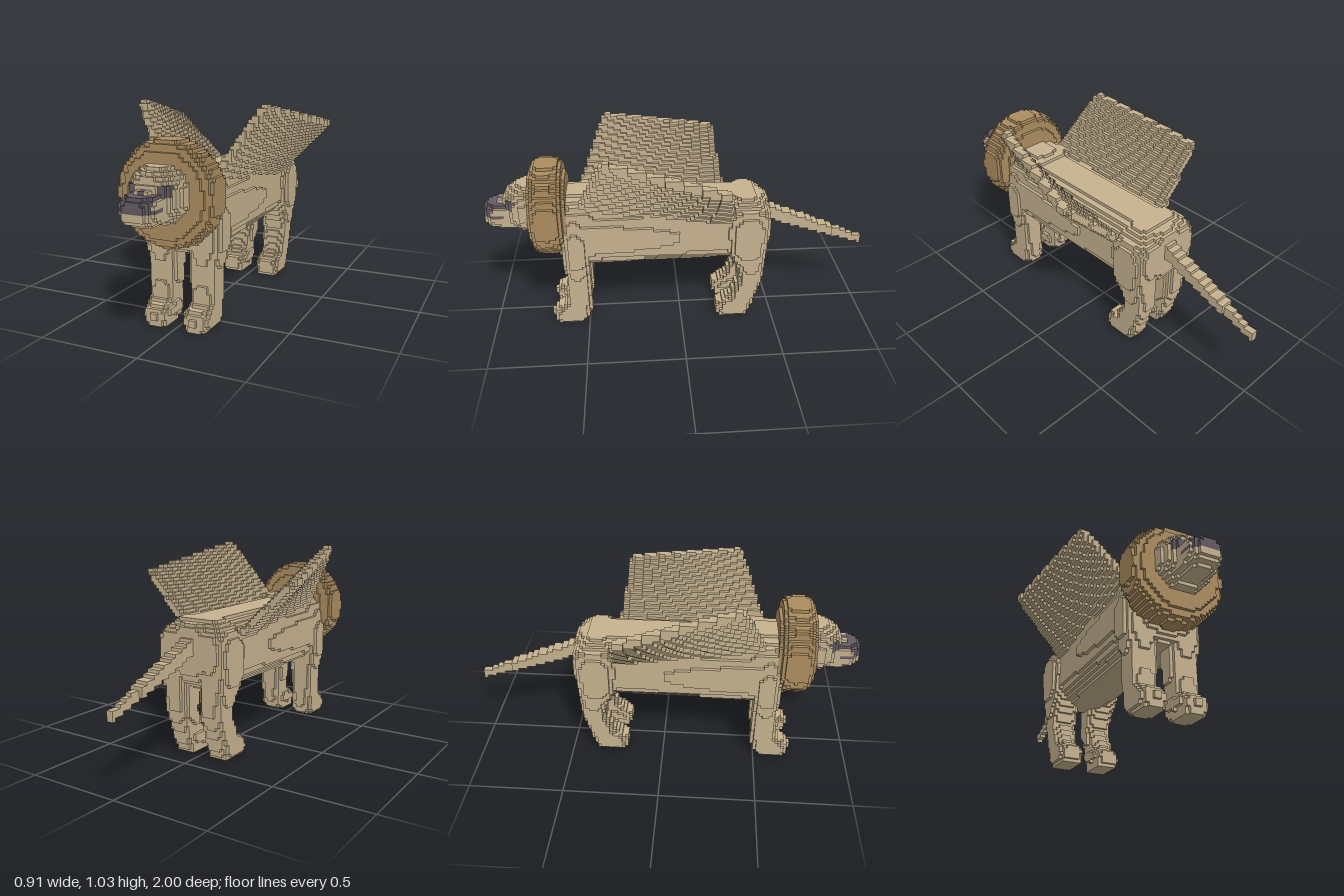
import * as THREE from 'three';

// Cube grid: NX is even so that x = 0 falls on a cell border
const NX = 56, NY = 62, NZ = 119, S = 2 / NZ;
const ORIGIN = [-NX / 2 * S, 0, -1];
const PARTS = ['empty', 'body', 'mane', 'head', 'nose', 'eye', 'wing', 'frontLeg', 'hindLeg', 'tail'];
const PAIRED = ['eye', 'wing', 'frontLeg', 'hindLeg'];

const mix = (a, b, t) => a + (b - a) * t;
const blob = (p, c, r, n) =>
  Math.abs((p[0] - c[0]) / r[0]) ** n + Math.abs((p[1] - c[1]) / r[1]) ** n + Math.abs((p[2] - c[2]) / r[2]) ** n <= 1;

// Leg sections: height, back z, front z, inner x, outer x
const FRONT_LEG = [
  [0, 0.55, 0.67, 0.045, 0.155], [0.03, 0.49, 0.69, 0.045, 0.168], [0.07, 0.485, 0.69, 0.035, 0.168],
  [0.12, 0.485, 0.62, 0.048, 0.168], [0.2, 0.482, 0.605, 0.04, 0.17], [0.3, 0.482, 0.605, 0.033, 0.178],
  [0.4, 0.475, 0.61, 0.033, 0.202], [0.54, 0.48, 0.605, 0.045, 0.2], [0.64, 0.5, 0.59, 0.05, 0.175],
];
const HIND_LEG = [
  [0, -0.365, -0.21, 0.045, 0.155], [0.03, -0.38, -0.185, 0.045, 0.168], [0.07, -0.395, -0.19, 0.035, 0.168],
  [0.12, -0.405, -0.265, 0.045, 0.168], [0.24, -0.44, -0.322, 0.035, 0.172], [0.33, -0.44, -0.29, 0.033, 0.182],
  [0.42, -0.447, -0.245, 0.03, 0.202], [0.56, -0.47, -0.23, 0.01, 0.203], [0.64, -0.46, -0.25, 0, 0.19],
  [0.7, -0.39, -0.29, 0, 0.11],
];

function inLeg(sections, x, y, z) {
  for (let i = 0; i < sections.length - 1; i++) {
    const a = sections[i], b = sections[i + 1];
    if (y < a[0] || y > b[0]) continue;
    const t = (y - a[0]) / (b[0] - a[0]);
    const [, z0, z1, x0, x1] = a.map((v, k) => mix(v, b[k], t));
    const dx = (Math.abs(x) - (x0 + x1) / 2) / ((x1 - x0) / 2);
    const dz = (z - (z0 + z1) / 2) / ((z1 - z0) / 2);
    return Math.abs(dx) ** 3 + Math.abs(dz) ** 3 <= 1;
  }
  return false;
}

function inBody(x, y, z) {
  if (z < -0.47 || z > 0.645) return false;
  const f = (z + 0.47) / 1.115;
  // rounded chest and rump
  const end = Math.max(0, (z - 0.52) / 0.125, (-0.3 - z) / 0.17);
  const k = Math.sqrt(Math.max(0, 1 - end ** 2.4));
  const rx = mix(0.165, 0.192, f) * mix(0.3, 1, k);
  const ry = 0.182 * mix(0.35, 1, k);
  const cy = 0.527 + (z < -0.3 ? 0.045 * (1 - k) : 0);
  return Math.abs(x / rx) ** 2.5 + Math.abs((y - cy) / ry) ** 2.5 <= 1;
}

function inTail(x, y, z) {
  if (z > -0.4) return false;
  const t = (-0.45 - z) / 0.55;
  return Math.abs(x) < (z > -0.83 ? 2 : 1) * S &&
    Math.abs(y - (0.578 + (z + 0.47) * 0.385)) < mix(0.037, 0.019, t);
}

function partAt(x, y, z) {
  const p = [x, y, z], ax = Math.abs(x);
  const head = blob(p, [0, 0.665, 0.755], [0.136, 0.13, 0.15], 2.2);
  const snout = blob(p, [0, 0.628, 0.87], [0.092, 0.074, 0.137], 2.6);
  if (head || snout) {
    const col = Math.floor(ax / S), row = Math.floor(y / S);
    if (z > 0.82 && col >= 3 && col <= 5 && row >= 40 && row <= 42) return 'eye';
    const noseWidth = { 37: 5, 38: 4, 39: 4, 40: 4, 41: 1 }[row] || 0;
    if (z > 0.895 && col < noseWidth) return 'nose';
    if (z > 0.76 || Math.hypot(x, y - 0.665) < 0.13) return 'head';
  }
  const r = Math.hypot(x, y - 0.65);
  if ((r / 0.243) ** 4 + Math.abs((z - 0.675) / 0.094) ** 4 <= 1) return 'mane';
  // neck
  if (z > 0.42 && z < 0.64 && blob(p, [0, 0.6, 0.52], [0.17, 0.135, 0.16], 3)) return 'body';
  if (inLeg(FRONT_LEG, x, y, z)) return 'frontLeg';
  if (inLeg(HIND_LEG, x, y, z)) return 'hindLeg';
  if (inBody(x, y, z)) return 'body';
  if (inTail(x, y, z)) return 'tail';
  return 'empty';
}

const inside = (i, j, k) => i >= 0 && j >= 0 && k >= 0 && i < NX && j < NY && k < NZ;
const index = (i, j, k) => (i * NY + j) * NZ + k;

function fillGrid() {
  const grid = new Uint8Array(NX * NY * NZ);
  for (let i = 0; i < NX; i++) for (let j = 0; j < NY; j++) for (let k = 0; k < NZ; k++) {
    const x = ORIGIN[0] + (i + 0.5) * S, y = (j + 0.5) * S, z = -1 + (k + 0.5) * S;
    grid[index(i, j, k)] = PARTS.indexOf(partAt(x, y, z));
  }
  // Wings: a twisted sheet between root edge and tip edge, thickened by a small ball
  const rootFront = new THREE.Vector3(0.115, 0.67, 0.51), rootBack = new THREE.Vector3(0.14, 0.59, -0.25);
  const tipFront = new THREE.Vector3(0.318, 1.005, 0.37), tipBack = new THREE.Vector3(0.436, 0.887, -0.2);
  const R = 0.022, root = new THREE.Vector3(), p = new THREE.Vector3(), tip = new THREE.Vector3();
  for (let u = 0; u <= 1; u += 0.008) {
    root.lerpVectors(rootFront, rootBack, u);
    tip.lerpVectors(tipFront, tipBack, u);
    for (let v = 0; v <= 1; v += 0.015) {
      p.lerpVectors(root, tip, v);
      const c = [0, 1, 2].map(a => Math.floor((p.getComponent(a) - ORIGIN[a]) / S));
      for (let i = c[0] - 1; i <= c[0] + 1; i++) for (let j = c[1] - 1; j <= c[1] + 1; j++) for (let k = c[2] - 1; k <= c[2] + 1; k++) {
        const d = Math.hypot(ORIGIN[0] + (i + 0.5) * S - p.x, (j + 0.5) * S - p.y, -1 + (k + 0.5) * S - p.z);
        if (d > R || !inside(i, j, k)) continue;
        for (const m of [i, NX - 1 - i])
          if (!grid[index(m, j, k)]) grid[index(m, j, k)] = PARTS.indexOf('wing');
      }
    }
  }
  return grid;
}

export function createModel() {
  const tan = new THREE.MeshStandardMaterial({ color: 0xc6b28f });
  tan.name = 'tan fur';
  const brown = new THREE.MeshStandardMaterial({ color: 0xab8d60 });
  brown.name = 'brown mane';
  const dark = new THREE.MeshStandardMaterial({ color: 0x645b64 });
  dark.name = 'dark grey';
  const materials = { mane: brown, nose: dark, eye: dark };

  const grid = fillGrid();
  const faces = {};
  // Exposed cube faces, collected part by part
  for (let i = 0; i < NX; i++) for (let j = 0; j < NY; j++) for (let k = 0; k < NZ; k++) {
    const part = PARTS[grid[index(i, j, k)]];
    if (part === 'empty') continue;
    const side = i >= NX / 2 ? 'left' : 'right';
    const name = PAIRED.includes(part) ? side + part[0].toUpperCase() + part.slice(1) : part;
    const out = faces[name] ??= { position: [], normal: [], material: materials[part] ?? tan };
    for (let a = 0; a < 3; a++) for (const sign of [-1, 1]) {
      const n = [0, 0, 0];
      n[a] = sign;
      const next = [i + n[0], j + n[1], k + n[2]];
      if (inside(...next) && grid[index(...next)]) continue;
      const corners = [[0, 0], [1, 0], [1, 1], [0, 1]].map(([du, dv]) => {
        const c = [i, j, k];
        c[a] += sign > 0 ? 1 : 0;
        c[(a + 1) % 3] += du;
        c[(a + 2) % 3] += dv;
        return c.map((v, m) => ORIGIN[m] + v * S);
      });
      if (sign < 0) corners.reverse();
      for (const q of [0, 1, 2, 0, 2, 3]) {
        out.position.push(...corners[q]);
        out.normal.push(...n);
      }
    }
  }

  const model = new THREE.Group();
  model.name = 'wingedLion';
  for (const [name, { position, normal, material }] of Object.entries(faces)) {
    const geometry = new THREE.BufferGeometry();
    geometry.setAttribute('position', new THREE.Float32BufferAttribute(position, 3));
    geometry.setAttribute('normal', new THREE.Float32BufferAttribute(normal, 3));
    const mesh = new THREE.Mesh(geometry, material);
    mesh.name = name;
    model.add(mesh);
  }
  return model;
}
